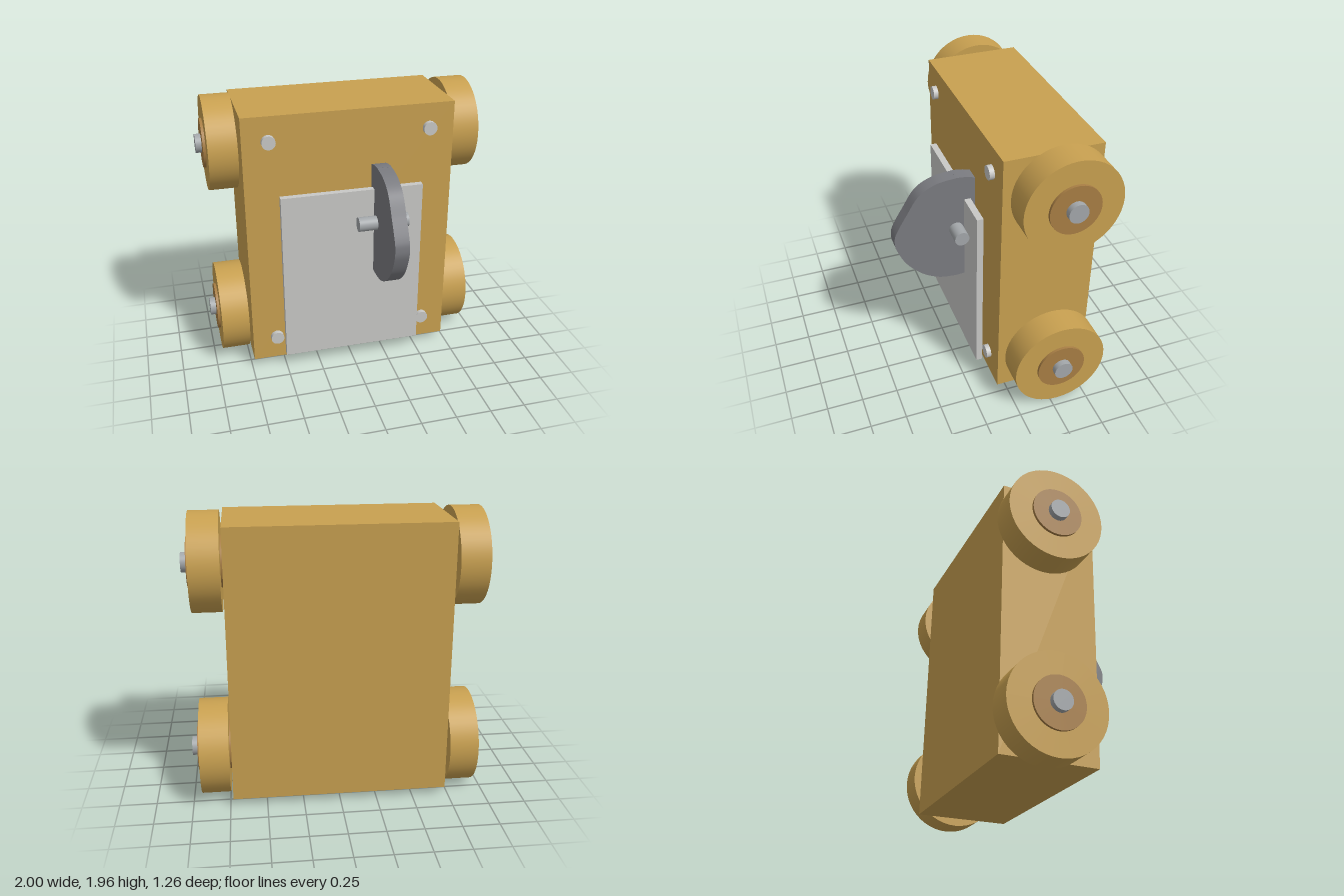
import * as THREE from 'three';

const paint = (name, color) => {
  const m = new THREE.MeshStandardMaterial({ color });
  m.name = name;
  return m;
};

export function createModel() {
  const wood = paint('wood', 0xc8a050);
  const darkWood = paint('dark wood', 0xa87e44);
  const steel = paint('steel', 0xa3a7aa);
  const paleMetal = paint('pale metal', 0xc8c8c6);
  const camGrey = paint('cam grey', 0x7a7b80);

  const model = new THREE.Group();
  model.name = 'wheeledBlock';

  const add = (name, geometry, material, x, y, z, parent = model) => {
    const mesh = new THREE.Mesh(geometry, material);
    mesh.name = name;
    mesh.position.set(x, y, z);
    parent.add(mesh);
    return mesh;
  };
  // Box and cylinders given by their extents along an axis
  const box = (w, h, d) => new THREE.BoxGeometry(w, h, d);
  const rodX = (r, length) => new THREE.CylinderGeometry(r, r, length, 48).rotateZ(-Math.PI / 2);
  const rodZ = (r, length) => new THREE.CylinderGeometry(r, r, length, 32).rotateX(Math.PI / 2);

  // Wooden body
  add('body', box(1.46, 1.865, 0.655), wood, 0, 0.985, -0.2575);

  // Two axles, each with a hubbed wheel at both ends
  for (const [label, y] of [['lower', 0.33], ['upper', 1.64]]) {
    add(label + 'Axle', rodX(0.065, 2), steel, 0, y, -0.305);
    for (const side of [-1, 1]) {
      const wheel = new THREE.Group();
      wheel.name = label + (side > 0 ? 'Left' : 'Right') + 'Wheel';
      wheel.position.set(side * 0.843, y, -0.305);
      add('tyre', rodX(0.327, 0.196), wood, 0, 0, 0, wheel);
      add('hub', rodX(0.17, 0.232), darkWood, 0, 0, 0, wheel);
      model.add(wheel);
    }
  }

  // Front plate and the four corner studs
  add('frontPlate', box(1, 1.26, 0.045), paleMetal, 0, 0.732, 0.1235);
  for (const x of [-0.555, 0.555]) {
    for (const y of [0.23, 1.745]) add('cornerStud', rodZ(0.047, 0.06), paleMetal, x, y, 0.073);
  }

  // Cam: round at the back, with a blunt nose; profile is (z, y) around the pin
  const profile = [
    [0.0, 0.403], [0.13, 0.386], [0.25, 0.32], [0.34, 0.185], [0.41, 0.065],
    [0.428, 0], [0.417, -0.08], [0.355, -0.21], [0.25, -0.322], [0.13, -0.387], [0.01, -0.405],
  ];
  const points = profile.map(([z, y]) => new THREE.Vector2(-z, y));
  const cam = new THREE.Shape();
  cam.moveTo(points[0].x, points[0].y);
  cam.splineThru(points.slice(1));
  cam.absarc(0, 0, 0.404, -Math.PI / 2, Math.PI / 2, false);
  const camGeometry = new THREE.ExtrudeGeometry(cam, { depth: 0.1, bevelEnabled: false, curveSegments: 40 });
  camGeometry.translate(0, 0, -0.05).rotateY(Math.PI / 2);
  add('cam', camGeometry, camGrey, 0.2, 1.136, 0.203);

  // Pin through the cam
  add('camPin', rodX(0.05, 0.355), steel, 0.198, 1.136, 0.203);

  return model;
}
